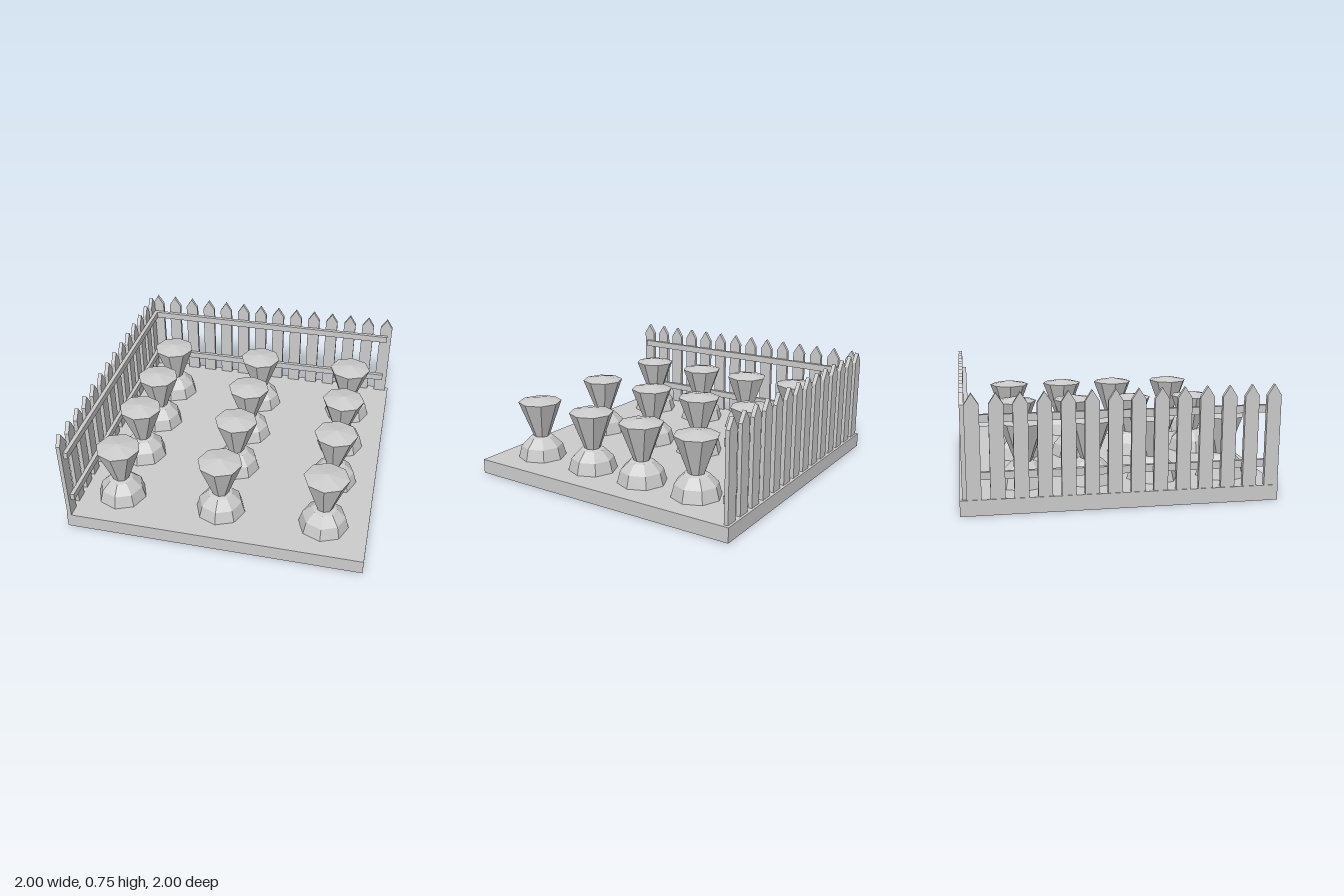
import * as THREE from 'three';

const material = new THREE.MeshStandardMaterial({ color: 0xcccccc, flatShading: true });

function add(parent, name, geometry, x = 0, y = 0, z = 0) {
  const mesh = new THREE.Mesh(geometry, material);
  mesh.name = name;
  mesh.position.set(x, y, z);
  parent.add(mesh);
  return mesh;
}

const GROUND = 0.1;
const THICK = 0.027;

// Pointed board standing on the ground slab
function picketGeometry() {
  const w = 0.045, shoulder = 0.58, tip = 0.65;
  const shape = new THREE.Shape();
  shape.moveTo(-w, 0);
  shape.lineTo(w, 0);
  shape.lineTo(w, shoulder);
  shape.lineTo(0, tip);
  shape.lineTo(-w, shoulder);
  shape.closePath();
  return new THREE.ExtrudeGeometry(shape, { depth: THICK, bevelEnabled: false });
}

// Fence along local x, outer face at local z = 0, rails on the inner (+z) side
function createFence(name, first, last, railStart, railEnd) {
  const fence = new THREE.Group();
  fence.name = name;
  const count = 14;
  const picket = picketGeometry();
  for (let i = 0; i < count; i++) {
    add(fence, 'picket', picket, first + ((last - first) * i) / (count - 1), GROUND, 0);
  }
  const rail = new THREE.BoxGeometry(railEnd - railStart, 0.048, THICK);
  for (const y of [0.238, 0.591]) {
    add(fence, 'rail', rail, (railStart + railEnd) / 2, y, THICK * 1.5);
  }
  return fence;
}

export function createModel() {
  const model = new THREE.Group();
  model.name = 'fencedGardenPlot';

  add(model, 'groundSlab', new THREE.BoxGeometry(2, GROUND, 2), 0, GROUND / 2, 0);

  // Two fences meeting at one back corner
  const backFence = createFence('backFence', -0.938, 0.933, -0.967, 0.947);
  backFence.position.z = -0.984;
  model.add(backFence);

  const sideFence = createFence('sideFence', -0.955, 0.914, -0.97, 0.95);
  sideFence.rotation.y = Math.PI / 2;
  sideFence.position.x = -0.995;
  model.add(sideFence);

  // Rows of plants: faceted mound with a flaring, low-peaked crown
  const mound = new THREE.SphereGeometry(0.168, 8, 3, 0, Math.PI * 2, 0, Math.PI / 2);
  const crown = new THREE.LatheGeometry([
    new THREE.Vector2(0, 0.24),
    new THREE.Vector2(0.05, 0.24),
    new THREE.Vector2(0.15, 0.505),
    new THREE.Vector2(0, 0.535),
  ], 8);
  for (const x of [-0.702, 0, 0.702]) {
    for (const z of [-0.594, -0.17, 0.246, 0.712]) {
      const plant = new THREE.Group();
      plant.name = 'plant';
      plant.position.set(x, 0, z);
      add(plant, 'mound', mound, 0, GROUND, 0);
      add(plant, 'crown', crown);
      model.add(plant);
    }
  }
  return model;
}
